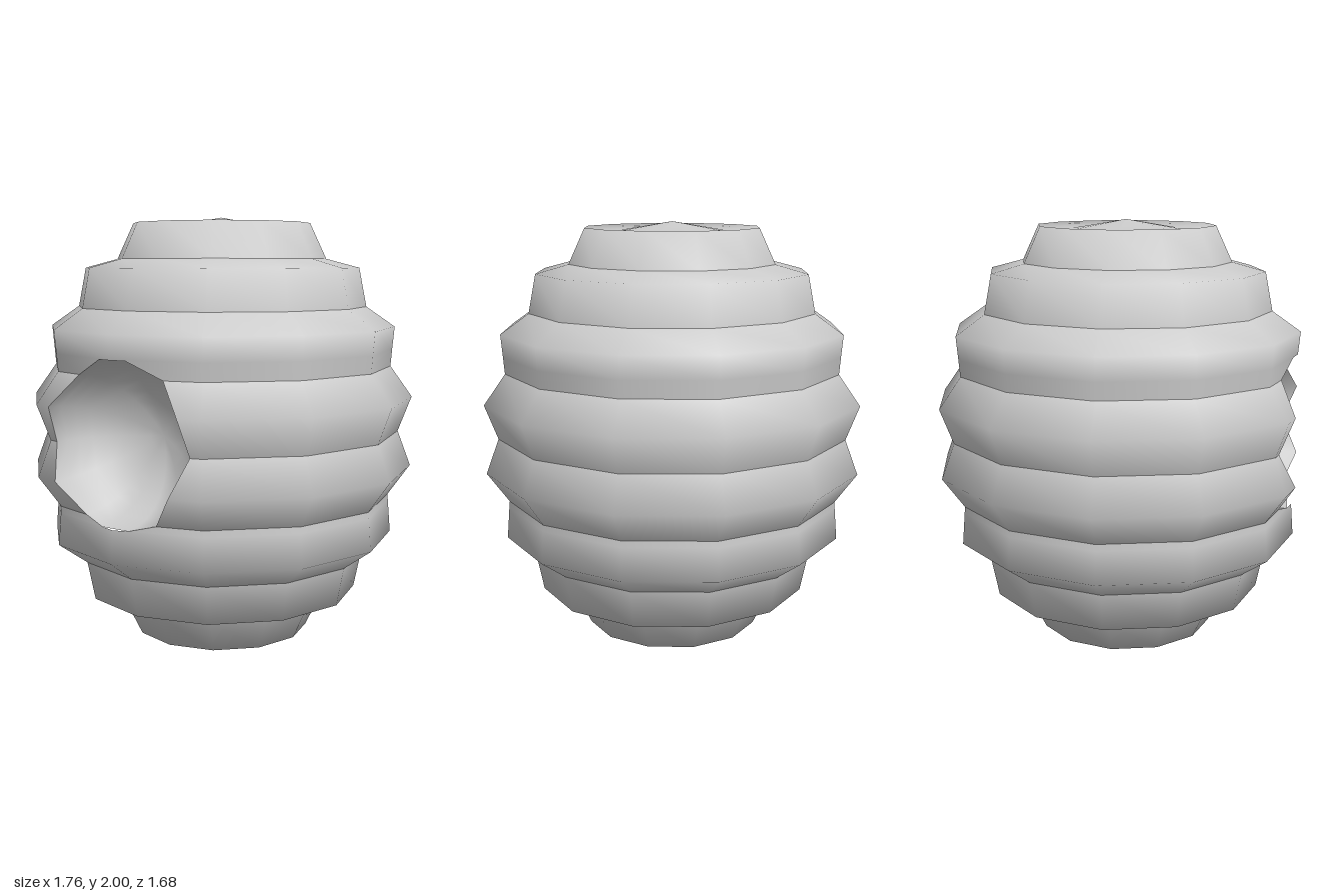
import * as THREE from 'three';

const SIDES = 12;
const CENTRE_Z = 0.04;

// Each band is a smooth bulge: [radius, height, half width of the entrance cut]
const BANDS = [
  [[0, 0, 0], [0.405, 0.09, 0], [0.48, 0.245, 0]],
  [[0.48, 0.245, 0], [0.63, 0.285, 0], [0.665, 0.46, 0]],
  [[0.665, 0.46, 0], [0.795, 0.555, 0], [0.783, 0.699, 0], [0.783, 0.7, 0.07], [0.78, 0.73, 0.19]],
  [[0.78, 0.73, 0.19], [0.88, 0.87, 0.305], [0.82, 1.03, 0.36]],
  [[0.82, 1.03, 0.36], [0.88, 1.19, 0.345], [0.78, 1.33, 0.225]],
  [[0.78, 1.33, 0.225], [0.786, 1.405, 0.07], [0.786, 1.406, 0], [0.795, 1.51, 0], [0.665, 1.6, 0]],
  [[0.665, 1.6, 0], [0.63, 1.775, 0], [0.48, 1.815, 0]],
  [[0.48, 1.815, 0], [0.405, 1.975, 0], [0.25, 1.958, 0], [0, 2, 0]],
];

// Lathe a band, then slide its front seam sideways to open the entrance
function makeBand(rows) {
  const geo = new THREE.LatheGeometry(rows.map(([r, y]) => new THREE.Vector2(r, y)), SIDES);
  const n = rows.length;
  const a = new THREE.Vector3(), b = new THREE.Vector3();
  rows.forEach(([r, , w], j) => {
    if (!w) return;
    const t = w / (r * Math.sin(2 * Math.PI / SIDES));
    for (const [seam, next] of [[0, 1], [SIDES, SIDES - 1]]) {
      for (const name of ['position', 'normal']) {
        const attr = geo.attributes[name];
        a.fromBufferAttribute(attr, seam * n + j);
        b.fromBufferAttribute(attr, next * n + j);
        a.lerp(b, t);
        if (name === 'normal') a.normalize();
        attr.setXYZ(seam * n + j, a.x, a.y, a.z);
      }
    }
  });
  return geo;
}

// Rounded hollow whose rim follows the cut edge of the bands
function makeHollow() {
  const right = [];
  for (const [r, y, w] of BANDS.flat()) {
    if (!w || (right.length && right.at(-1).y === y)) continue;
    const z = r - w * Math.tan(Math.PI / SIDES);
    right.push(new THREE.Vector3(w, y, z));
  }
  const left = right.map((p) => new THREE.Vector3(-p.x, p.y, p.z)).reverse();
  const rim = [...right, ...left];
  const count = rim.length, steps = 8, midY = 1.05, midZ = 0.76, depth = 0.33;
  const pos = [], index = [];
  for (let k = 0; k <= steps; k++) {
    const angle = (k / steps) * Math.PI / 2;
    const s = Math.sin(angle), c = k === steps ? 0 : Math.cos(angle);
    for (let i = 0; i < count; i++) {
      const p = rim[i];
      pos.push(p.x * c, midY + (p.y - midY) * c, THREE.MathUtils.lerp(p.z, midZ, s) - depth * s);
      if (k === steps) continue;
      const a = k * count + i, b = k * count + (i + 1) % count;
      index.push(a, b, a + count);
      if (k < steps - 1) index.push(b, b + count, a + count);
    }
  }
  const geo = new THREE.BufferGeometry();
  geo.setAttribute('position', new THREE.Float32BufferAttribute(pos, 3));
  geo.setIndex(index);
  geo.computeVertexNormals();
  // The innermost points share one spot, so they share one normal
  for (let i = 0; i < count; i++) geo.attributes.normal.setXYZ(steps * count + i, 0, 0, 1);
  return geo;
}

export function createModel() {
  const group = new THREE.Group();
  group.name = 'beehive';
  const material = new THREE.MeshStandardMaterial({ color: 0xcccccc });
  const add = (name, geo) => {
    const mesh = new THREE.Mesh(geo, material);
    mesh.name = name;
    mesh.position.z = CENTRE_Z;
    group.add(mesh);
  };

  // Stacked coils from the base to the cap
  BANDS.forEach((rows, i) => {
    const name = i === 0 ? 'base' : i === BANDS.length - 1 ? 'cap' : `coil${i}`;
    add(name, makeBand(rows));
  });

  // Round entrance in the front
  add('entranceHollow', makeHollow());
  return group;
}
